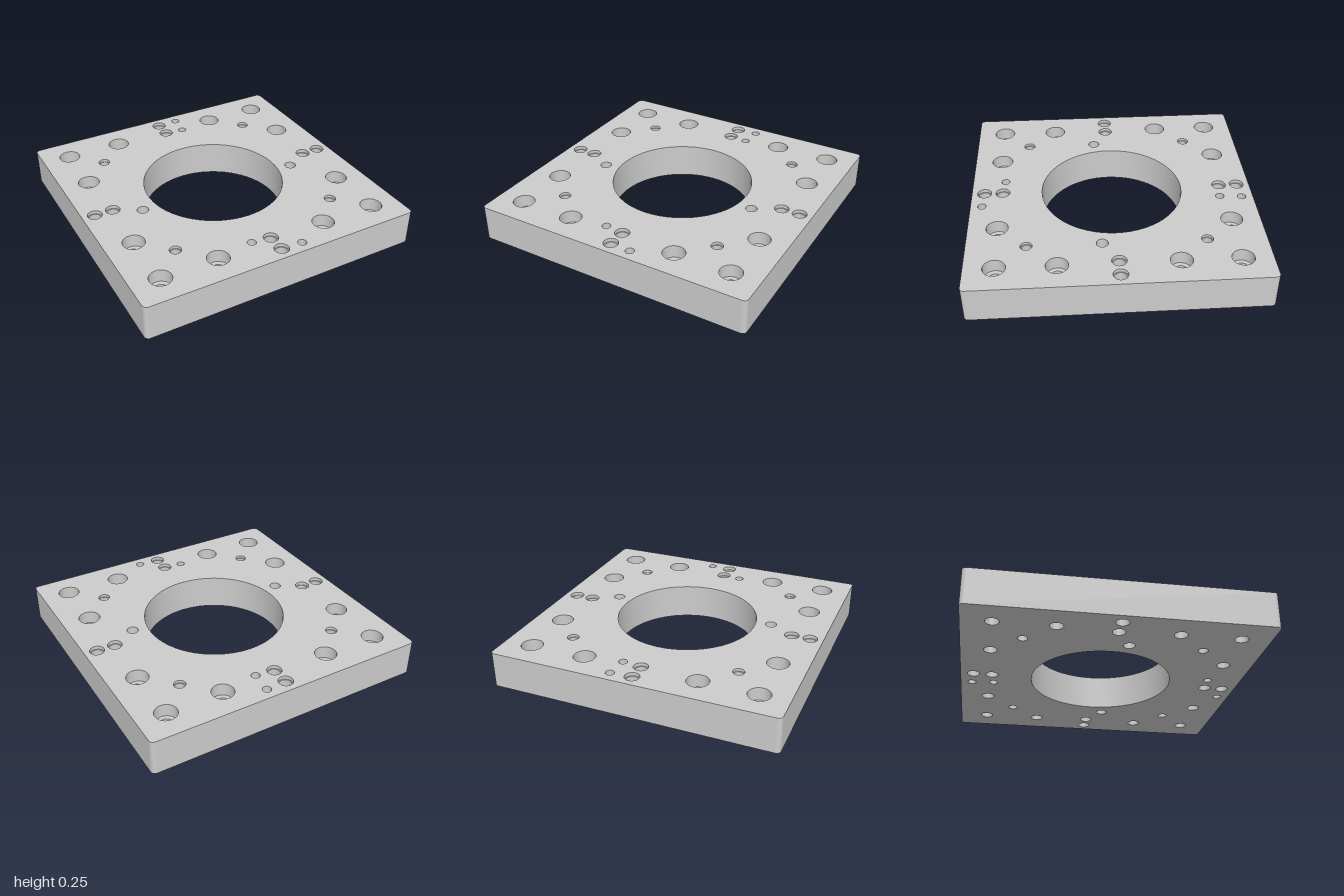
import * as THREE from 'three';
import { toCreasedNormals } from 'three/addons/utils/BufferGeometryUtils.js';

const HEIGHT = 0.25, HALF = 1, CORNER = 0.03, SEGMENTS = 64;

// Every hole: name, centre, top radius, bottom radius, depth of the step
const holes = [];
const hole = (name, x, z, top, bottom = top, depth = 0) => holes.push({ name, x, z, top, bottom, depth });

hole('centreBore', 0, 0, 0.5);
for (const s of [-1, 1]) {
  for (const t of [-1, 1]) {
    for (const [x, z] of [[0.8, 0.8], [0.4, 0.8], [0.8, 0.4]]) {
      hole('counterboredHole', s * x, t * z, 0.075, 0.045, 0.09);
    }
    hole('threadedHole', s * 0.6, t * 0.6, 0.04, 0.034, 0.02);
  }
  for (const d of [0.78, 0.91]) {
    hole('pairedHole', s * d, 0, 0.05, 0.0435, 0.025);
    hole('pairedHole', 0, s * d, 0.05, 0.0435, 0.025);
  }
  hole('dowelHole', s * 0.6, 0.1, 0.04);
  hole('pinHole', 0.15, s * 0.92, 0.03);
  hole('pinHole', -s * 0.135, s * 0.765, 0.03);
}

// Rounded square outline
function outline() {
  const shape = new THREE.Shape(), c = HALF - CORNER;
  [[c, c], [-c, c], [-c, -c], [c, -c]].forEach(([x, y], i) =>
    shape.absarc(x, y, CORNER, i * Math.PI / 2, (i + 1) * Math.PI / 2, false));
  return shape;
}

// Flat face of the plate, side = 1 for the top and -1 for the bottom
function face(side) {
  const shape = outline();
  for (const h of holes) {
    const path = new THREE.Path();
    path.absarc(h.x, -side * h.z, side > 0 ? h.top : h.bottom, 0, Math.PI * 2, true);
    shape.holes.push(path);
  }
  return new THREE.ShapeGeometry(shape, SEGMENTS / 2)
    .rotateX(-side * Math.PI / 2)
    .translate(0, side > 0 ? HEIGHT : 0, 0);
}

// Outer wall with smooth rounded corners
function wall() {
  const pts = outline().getPoints(8);
  pts.push(pts[0].clone());
  const position = [], normal = [], index = [], c = HALF - CORNER;
  pts.forEach((p, i) => {
    const n = p.clone().sub(new THREE.Vector2(Math.sign(p.x) * c, Math.sign(p.y) * c)).normalize();
    for (const y of [0, HEIGHT]) {
      position.push(p.x, y, -p.y);
      normal.push(n.x, 0, -n.y);
    }
    if (i) {
      const a = 2 * (i - 1);
      index.push(a, a + 2, a + 3, a, a + 3, a + 1);
    }
  });
  const g = new THREE.BufferGeometry();
  g.setAttribute('position', new THREE.Float32BufferAttribute(position, 3));
  g.setAttribute('normal', new THREE.Float32BufferAttribute(normal, 3));
  g.setIndex(index);
  return g;
}

// Inside surface of a hole, running from the top down
function bore({ top, bottom, depth }) {
  const profile = [[top, HEIGHT]];
  if (depth) profile.push([top, HEIGHT - depth], [bottom, HEIGHT - depth]);
  profile.push([bottom, 0]);
  const g = new THREE.LatheGeometry(profile.map(([r, y]) => new THREE.Vector2(r, y)), SEGMENTS);
  return toCreasedNormals(g, Math.PI / 6);
}

export function createModel() {
  const group = new THREE.Group();
  group.name = 'mountingPlate';
  const material = new THREE.MeshStandardMaterial({ color: 0xcccccc });
  const add = (name, geometry, x = 0, z = 0) => {
    const mesh = new THREE.Mesh(geometry, material);
    mesh.name = name;
    mesh.position.set(x, 0, z);
    group.add(mesh);
  };
  add('topFace', face(1));
  add('bottomFace', face(-1));
  add('outerWall', wall());
  for (const h of holes) add(h.name, bore(h), h.x, h.z);
  return group;
}
